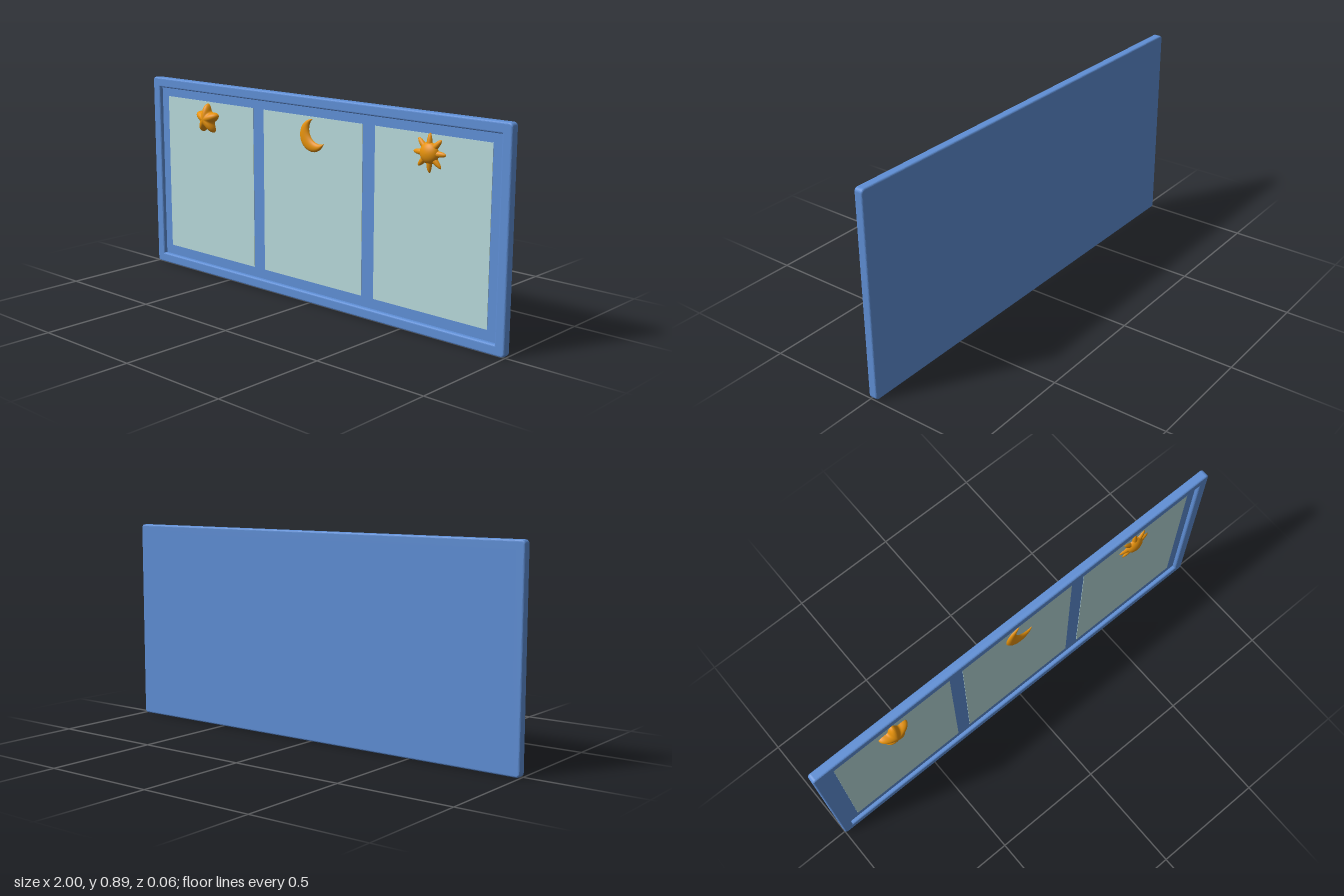
import * as THREE from 'three';

const FACE = -0.008; // depth of the recessed board face
const blue = new THREE.MeshStandardMaterial({ color: 0x5f8fd6 });
const pale = new THREE.MeshStandardMaterial({ color: 0xb8dadb });
const gold = new THREE.MeshStandardMaterial({ color: 0xe8930c });

function add(parent, name, geometry, material, x = 0, y = 0, z = 0) {
  const mesh = new THREE.Mesh(geometry, material);
  mesh.name = name;
  mesh.position.set(x, y, z);
  parent.add(mesh);
  return mesh;
}

function roundedRect(path, w, h, r) {
  const x = w / 2, y = h / 2;
  path.moveTo(-x + r, -y);
  path.lineTo(x - r, -y).absarc(x - r, -y + r, r, -Math.PI / 2, 0);
  path.lineTo(x, y - r).absarc(x - r, y - r, r, 0, Math.PI / 2);
  path.lineTo(-x + r, y).absarc(-x + r, y - r, r, Math.PI / 2, Math.PI);
  path.lineTo(-x, -y + r).absarc(-x + r, -y + r, r, Math.PI, Math.PI * 1.5);
  return path;
}

// Smooth surface from a grid of points: point(u, v) with u and v in 0..1
function surface(point, nu, nv) {
  const pos = [], index = [];
  for (let i = 0; i <= nu; i++)
    for (let j = 0; j <= nv; j++) pos.push(...point(i / nu, j / nv));
  for (let i = 0; i < nu; i++)
    for (let j = 0; j < nv; j++) {
      const a = i * (nv + 1) + j, b = a + nv + 1;
      index.push(a, b, a + 1, b, b + 1, a + 1);
    }
  const g = new THREE.BufferGeometry();
  g.setAttribute('position', new THREE.Float32BufferAttribute(pos, 3));
  g.setIndex(index);
  g.computeVertexNormals();
  return g;
}

// Puffed dome over a polar outline, first point straight up
function dome(outline, height, power = 0.5) {
  return surface((u, v) => {
    const t = Math.sin(u * Math.PI / 2), a = v * Math.PI * 2, r = outline(a) * t;
    return [Math.sin(-a) * r, Math.cos(a) * r, height * Math.pow(Math.max(0, 1 - t * t), power)];
  }, 14, 120);
}

// Rounded crescent lofted between an outer and an inner arc
function crescent(height) {
  const arc = (cx, cy, r, from, to, s) => {
    const a = THREE.MathUtils.degToRad(from + (to - from) * s);
    return [cx + r * Math.cos(a), cy + r * Math.sin(a)];
  };
  return surface((u, v) => {
    const s = (1 - Math.cos(u * Math.PI)) / 2;
    const o = arc(0, 0, 0.07, 90, 337, s), i = arc(0.04, 0.027, 0.059, 133, 294, s);
    const k = (1 - Math.cos(v * Math.PI)) / 2;
    const z = height * Math.sin(v * Math.PI) * Math.sqrt(Math.sin(s * Math.PI));
    return [o[0] + (i[0] - o[0]) * k, o[1] + (i[1] - o[1]) * k, z];
  }, 40, 16);
}

export function createModel() {
  const model = new THREE.Group();
  model.name = 'wallBoard';
  const H = 0.895, bevel = 0.008;

  // Rounded border with an open middle
  const outline = roundedRect(new THREE.Shape(), 2 - 2 * bevel, H - 2 * bevel, 0.008);
  outline.holes.push(roundedRect(new THREE.Path(), 1.925, 0.82, 0.004));
  const border = new THREE.ExtrudeGeometry(outline, {
    depth: 0.04 - 2 * bevel, bevelSize: bevel, bevelThickness: bevel, bevelSegments: 4, curveSegments: 6,
  });
  add(model, 'frame', border, blue, 0, H / 2, -0.03 + bevel);

  // Backing board
  const board = new THREE.BoxGeometry(1.95, 0.845, FACE + 0.03);
  add(model, 'backBoard', board, blue, 0, H / 2, (FACE - 0.03) / 2);

  // Three pale panels
  for (const [name, x] of [['leftmostPanel', -0.628], ['middlePanel', 0], ['rightmostPanel', 0.628]])
    add(model, name, new THREE.BoxGeometry(0.563, 0.72, 0.004), pale, x, 0.45, FACE);

  // Star
  const star = a => 0.043 + 0.028 * Math.pow((1 + Math.cos(5 * a)) / 2, 1.2);
  add(model, 'star', dome(star, 0.033 - FACE, 0.45), gold, -0.635, 0.732, FACE);

  // Moon
  add(model, 'moon', crescent(0.017), gold, 0.008, 0.73, FACE);

  // Sun: eight rays under a domed disc
  const sun = new THREE.Group();
  sun.name = 'sun';
  sun.position.set(0.62, 0.735, FACE);
  const rays = a => 0.042 + 0.037 * Math.pow((1 + Math.cos(8 * a)) / 2, 1.3);
  add(sun, 'sunRays', dome(rays, 0.017), gold);
  add(sun, 'sunDisc', dome(() => 0.044, 0.03), gold);
  model.add(sun);

  return model;
}
